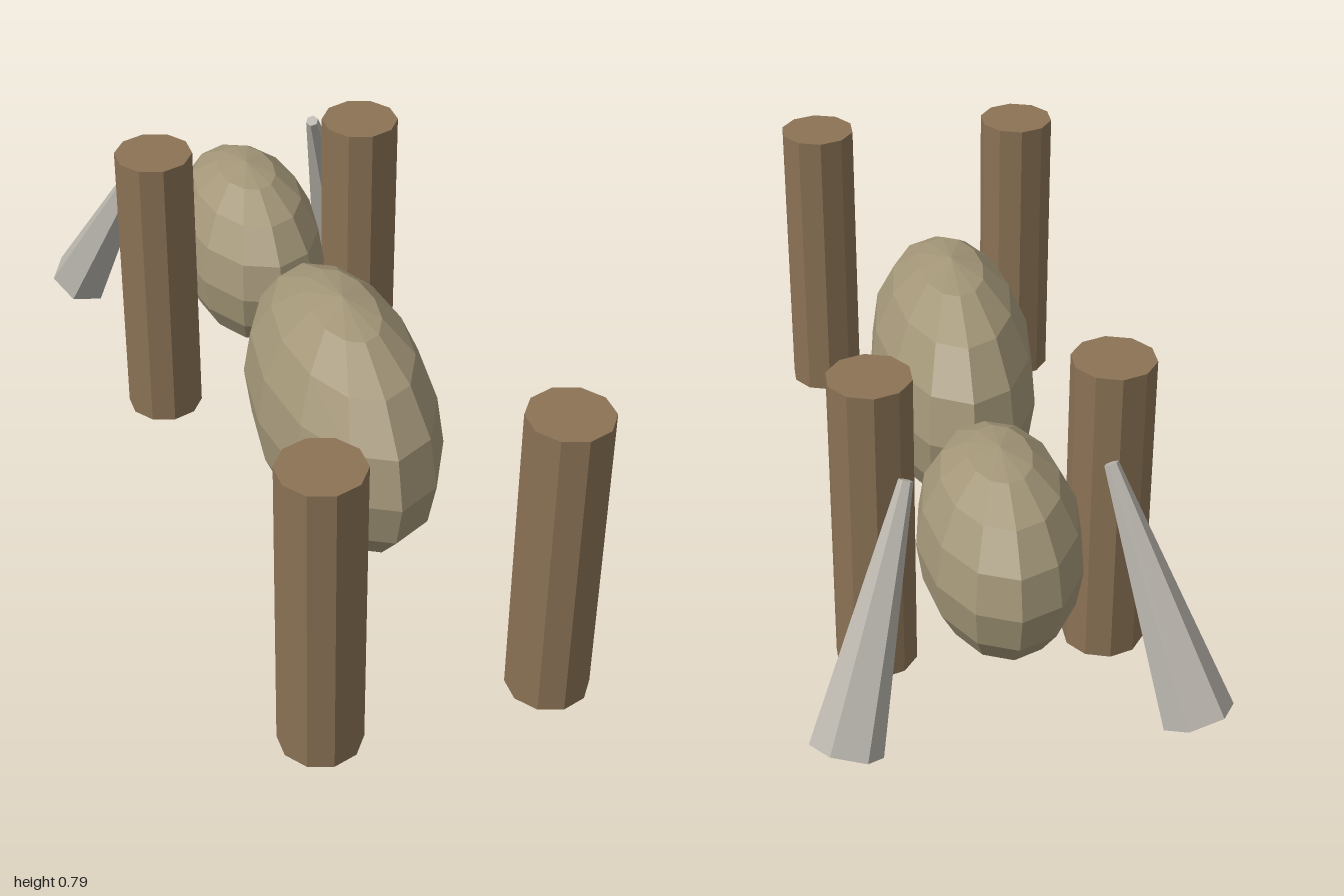
import * as THREE from 'three';

function flatMaterial(name, color) {
  const m = new THREE.MeshStandardMaterial({ color, flatShading: true });
  m.name = name;
  return m;
}

export function createModel() {
  const model = new THREE.Group();
  model.name = 'animal';

  const hide = flatMaterial('hide', 0xa39678);
  const bark = flatMaterial('legBrown', 0x8b7355);
  const ivory = flatMaterial('ivory', 0xb8b4ac);

  const add = (name, geometry, material, x, y, z) => {
    const mesh = new THREE.Mesh(geometry, material);
    mesh.name = name;
    mesh.position.set(x, y, z);
    model.add(mesh);
    return mesh;
  };

  // Body and head: faceted ellipsoids
  const ellipsoid = (rx, ry, rz) => new THREE.SphereGeometry(1, 12, 8).scale(rx, ry, rz);
  add('body', ellipsoid(0.213, 0.321, 0.428), hide, 0, 0.393, 0.227);
  add('head', ellipsoid(0.193, 0.252, 0.321), hide, 0, 0.393, -0.558);

  // Shared leg and tusk shapes; tusk is a six-sided taper, thin end up
  const legHeight = 0.785;
  const leg = new THREE.CylinderGeometry(0.1, 0.1, legHeight, 10);
  const thin = new THREE.Vector3(0.228, 0.66, -0.683);
  const thick = new THREE.Vector3(0.398, 0.12, -0.928);
  const axis = thin.clone().sub(thick);
  const length = axis.length();
  const tusk = new THREE.CylinderGeometry(0.017, 0.085, length, 6).rotateY(Math.PI / 6);
  const middle = thin.clone().add(thick).multiplyScalar(0.5);
  const pitch = Math.atan2(axis.z, axis.y);
  const splay = Math.asin(-axis.x / length);

  for (const [side, s] of [['left', 1], ['right', -1]]) {
    add(side + 'FrontLeg', leg, bark, s * 0.28, legHeight / 2, 0.9);
    add(side + 'BackLeg', leg, bark, s * 0.28, legHeight / 2, -0.443);
    add(side + 'Tusk', tusk, ivory, s * middle.x, middle.y, middle.z)
      .rotation.set(pitch, 0, s * splay);
  }
  return model;
}
